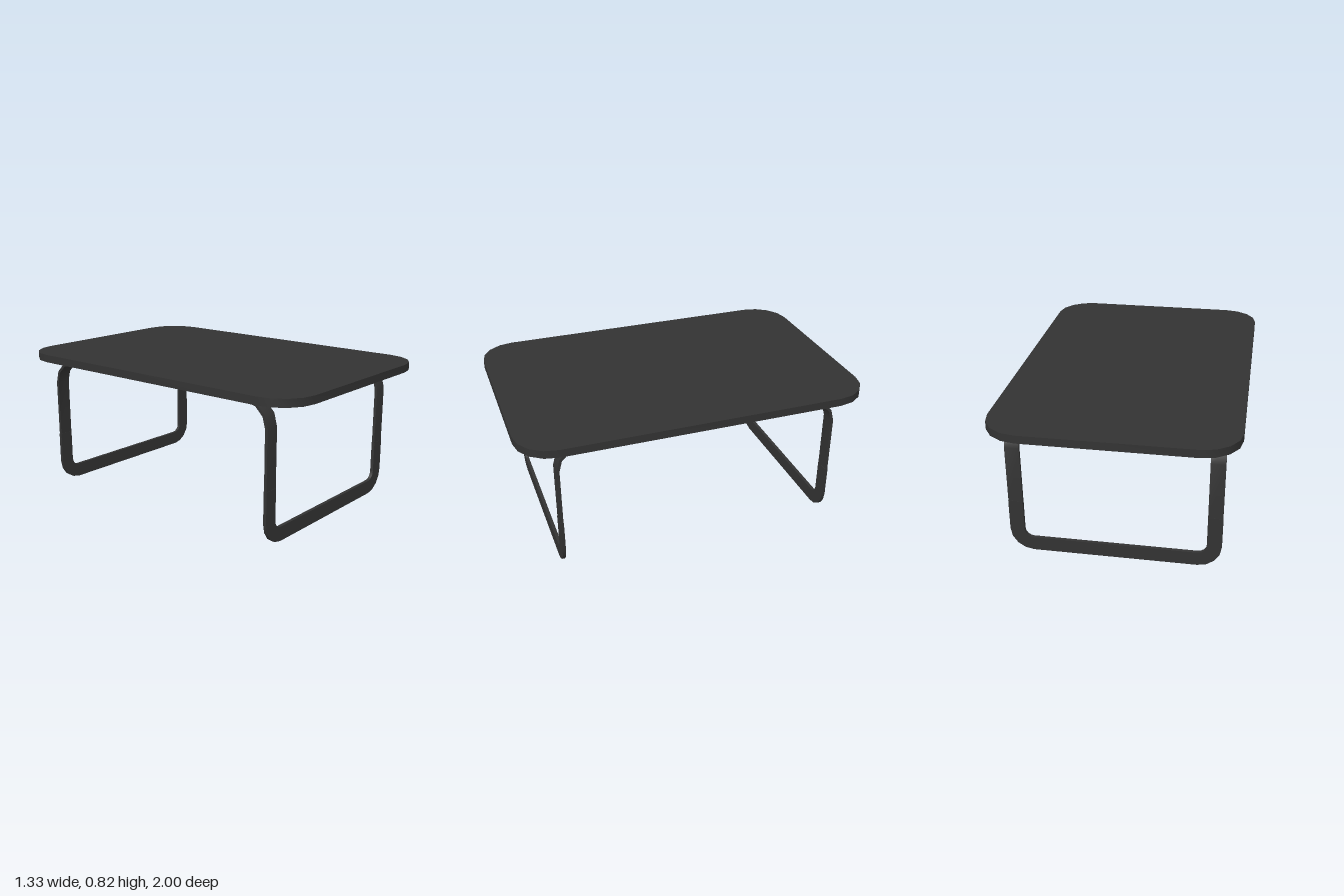
import * as THREE from 'three';
import { toCreasedNormals } from 'three/addons/utils/BufferGeometryUtils.js';

const material = new THREE.MeshStandardMaterial({ color: 0x333333 });

// Points of a quarter turn around (cx, cy), starting at angle "from"; dir is +1 or -1.
function quarter(cx, cy, r, from, segments, dir = 1) {
  return Array.from({ length: segments + 1 }, (_, i) => {
    const a = from + dir * (i / segments) * Math.PI / 2;
    return new THREE.Vector2(cx + r * Math.cos(a), cy + r * Math.sin(a));
  });
}

// Extruded outline, centred along its depth, with softened bends.
function slab(points, depth) {
  const geo = new THREE.ExtrudeGeometry(new THREE.Shape(points), { depth, bevelEnabled: false });
  geo.translate(0, 0, -depth / 2);
  return toCreasedNormals(geo, 0.6);
}

function addPart(parent, name, geometry) {
  const mesh = new THREE.Mesh(geometry, material);
  mesh.name = name;
  parent.add(mesh);
  return mesh;
}

// A U-shaped band opening upward: half width w, feet at y = 0, ends at y = top.
function uBand(w, top, thickness, radius, segments) {
  const inner = radius - thickness, cx = w - radius;
  return [
    new THREE.Vector2(-w, top),
    ...quarter(-cx, radius, radius, Math.PI, segments),
    ...quarter(cx, radius, radius, -Math.PI / 2, segments),
    new THREE.Vector2(w, top),
    new THREE.Vector2(w - thickness, top),
    ...quarter(cx, radius, inner, 0, segments, -1),
    ...quarter(-cx, radius, inner, -Math.PI / 2, segments, -1),
    new THREE.Vector2(-w + thickness, top),
  ];
}

export function createModel() {
  const model = new THREE.Group();
  model.name = 'coffeeTable';

  // Table top with rounded corners
  const W = 0.665, L = 1, R = 0.205, thick = 0.045, under = 0.78;
  const outline = [[1, 1], [-1, 1], [-1, -1], [1, -1]].flatMap(([sx, sy], i) =>
    quarter(sx * (W - R), sy * (L - R), R, i * Math.PI / 2, 4));
  const top = slab(outline, thick);
  top.rotateX(-Math.PI / 2);
  addPart(model, 'tableTop', top).position.y = under + thick / 2;

  // Flat bar frame: side arches that run under the top and down both ends
  const barWidth = 0.08, split = 0.31;
  const arch = slab(uBand(0.806, under - split, 0.016, 0.14, 3), barWidth);
  arch.rotateZ(Math.PI);
  arch.rotateY(-Math.PI / 2);
  for (const s of [1, -1]) {
    addPart(model, s > 0 ? 'leftArch' : 'rightArch', arch).position.set(s * 0.545, under, 0);
  }

  // U-shaped feet joining the arches at the front and back
  const foot = slab(uBand(0.586, split, barWidth + 0.001, 0.13, 4), 0.019);
  for (const s of [1, -1]) {
    addPart(model, s > 0 ? 'frontFoot' : 'backFoot', foot).position.z = s * 0.798;
  }
  return model;
}
